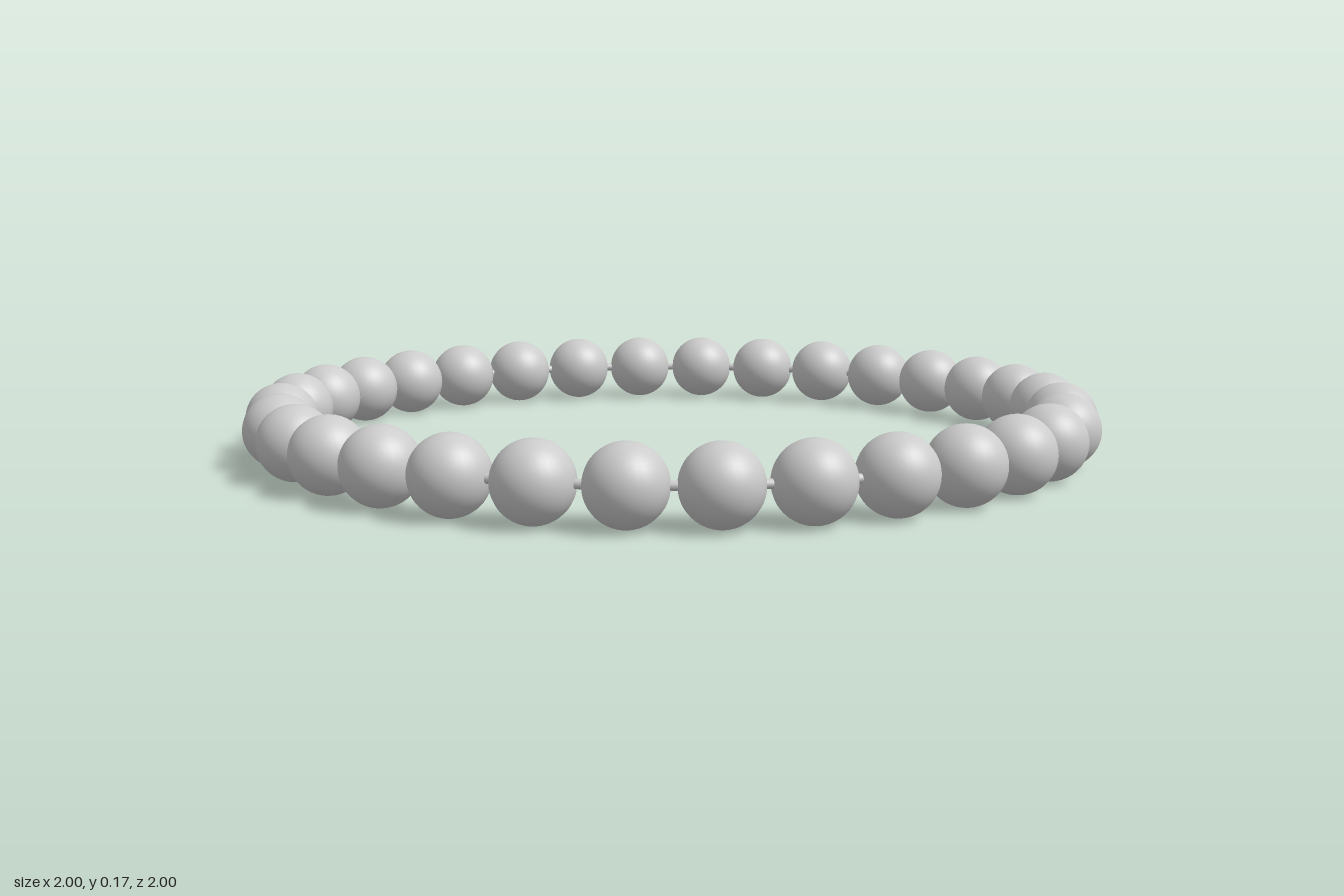
import * as THREE from 'three';

const BEADS = 32;
const BEAD_RADIUS = 0.084;
const RING_RADIUS = 1 - BEAD_RADIUS;
const CORD_RADIUS = 0.01;

export function createModel() {
  const model = new THREE.Group();
  model.name = 'beadedBracelet';
  const material = new THREE.MeshStandardMaterial({ color: 0xcccccc });

  // Thin cord running through every bead
  const cord = new THREE.Mesh(new THREE.TorusGeometry(RING_RADIUS, CORD_RADIUS, 12, 128), material);
  cord.name = 'cord';
  cord.rotation.x = Math.PI / 2;
  cord.position.y = BEAD_RADIUS;
  model.add(cord);

  // Round beads spaced evenly along the cord
  const beads = new THREE.Group();
  beads.name = 'beads';
  const beadGeometry = new THREE.SphereGeometry(BEAD_RADIUS, 32, 24);
  for (let i = 0; i < BEADS; i++) {
    const angle = (i / BEADS) * Math.PI * 2;
    const bead = new THREE.Mesh(beadGeometry, material);
    bead.name = `bead${i + 1}`;
    bead.position.set(Math.cos(angle) * RING_RADIUS, BEAD_RADIUS, Math.sin(angle) * RING_RADIUS);
    bead.rotation.y = -angle;
    beads.add(bead);
  }
  model.add(beads);

  return model;
}
